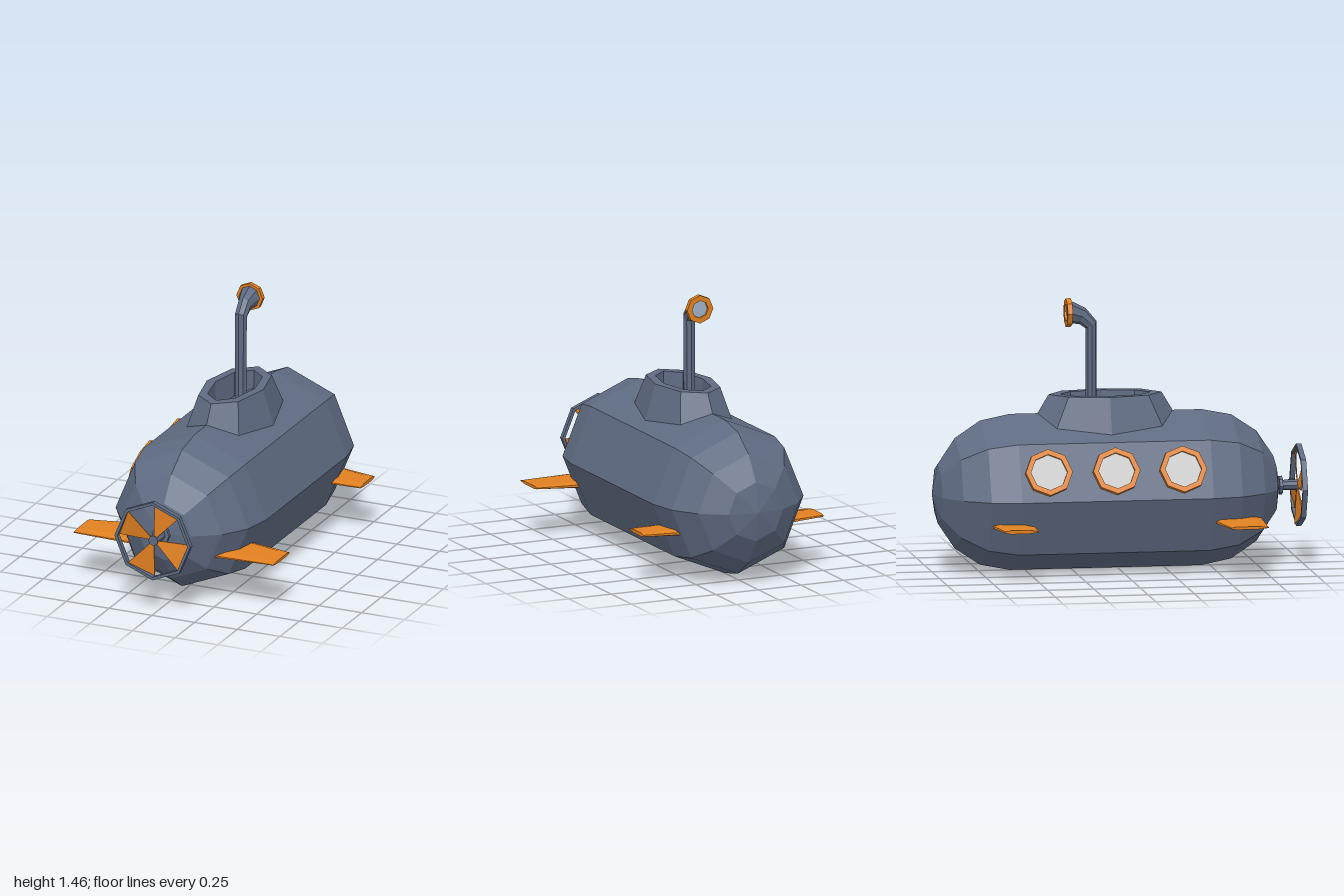
import * as THREE from 'three';

const mat = (color) => new THREE.MeshStandardMaterial({ color, flatShading: true });
const hullMat = mat(0x5f6b82);
const orangeMat = mat(0xe08020);
const glassMat = mat(0xcccccc);
const lensMat = mat(0x9fb0c8);
const V = (x, y, z) => new THREE.Vector3(x, y, z);

// Octagonal ring of points; u x v gives the direction of travel
function ring(center, u, v, n = 8) {
  return Array.from({ length: n }, (_, i) => {
    const a = (i / n) * Math.PI * 2;
    return center.clone().addScaledVector(u, Math.cos(a)).addScaledVector(v, Math.sin(a));
  });
}

// Skin over successive rings, with optional flat end caps
function loft(rings, caps = true) {
  const n = rings[0].length;
  const idx = [];
  for (let i = 0; i < rings.length - 1; i++) {
    for (let j = 0; j < n; j++) {
      const a = i * n + j, b = i * n + ((j + 1) % n);
      idx.push(a, b, b + n, a, b + n, a + n);
    }
  }
  if (caps) {
    const e = (rings.length - 1) * n;
    for (let j = 1; j < n - 1; j++) idx.push(0, j + 1, j, e, e + j, e + j + 1);
  }
  const g = new THREE.BufferGeometry().setFromPoints(rings.flat());
  g.setIndex(idx);
  const flat = g.toNonIndexed();
  flat.computeVertexNormals();
  return flat;
}

// Eight-sided solid of revolution about y from [radius, height] pairs
const lathe = (pts) => new THREE.LatheGeometry(pts.map(([r, y]) => new THREE.Vector2(r, y)), 8);
const hoop = (ro, ri, t) => lathe([[ro, 0], [ro, t], [ri, t], [ri, 0], [ro, 0]]);
const disc = (r, t) => new THREE.CylinderGeometry(r, r, t, 8);

export function createModel() {
  const model = new THREE.Group();
  const add = (name, geo, material, parent = model) => {
    const m = new THREE.Mesh(geo, material);
    m.name = name;
    parent.add(m);
    return m;
  };

  // Hull: octagonal capsule lying along z
  const R = 0.42, profile = [];
  for (const [mid, start] of [[-0.58, -90], [0.455, 0]]) {
    for (let i = 0; i <= 4; i++) {
      const a = THREE.MathUtils.degToRad(start + i * 22.5);
      profile.push([Math.max(0, R * Math.cos(a)), mid + R * Math.sin(a)]);
    }
  }
  add('hull', lathe(profile).rotateX(Math.PI / 2), hullMat).position.y = R;

  // Hollow conning tower, tapered outside, straight well inside
  const tower = [[0.245, 0.46, 0.68], [0.165, 0.305, 0.94], [0.115, 0.245, 0.94], [0.11, 0.235, 0.76]];
  add('conningTower', loft(tower.map(([rx, rz, y]) =>
    ring(V(0, y, -0.065), V(0, 0, rz), V(rx, 0, 0))), false), hullMat);

  // Periscope: pipe that bends backwards and flares
  const pipe = [[0.78, -0.14, 0, 0.031], [1.31, -0.14, 33, 0.035], [1.358, -0.188, 67, 0.046], [1.38, -0.252, 90, 0.062]];
  add('periscopePipe', loft(pipe.map(([y, z, deg, r]) => {
    const a = THREE.MathUtils.degToRad(deg);
    // the pipe keeps its side width while the elbow cut is tilted
    return ring(V(0, y, z), V(deg === 67 ? 0.038 : Math.min(r, 0.06), 0, 0),
      V(0, -Math.sin(a) * r, -Math.cos(a) * r));
  })), hullMat);
  add('periscopeRim', hoop(0.077, 0.047, 0.027).rotateX(-Math.PI / 2), orangeMat).position.set(0, 1.378, -0.25);
  add('periscopeLens', disc(0.05, 0.01).rotateX(Math.PI / 2), lensMat).position.set(0, 1.378, -0.26);

  // Portholes along the upper right face
  for (const z of [-0.43, -0.065, 0.295]) {
    const port = new THREE.Group();
    port.name = 'porthole';
    port.position.set(-0.358, 0.568, z);
    port.rotation.z = THREE.MathUtils.degToRad(67.5);
    add('portholeRim', hoop(0.127, 0.098, 0.042), orangeMat, port).position.y = -0.012;
    add('portholeGlass', disc(0.102, 0.02), glassMat, port).position.y = 0.006;
    model.add(port);
  }

  // Diving planes: tapered hexagonal sections, [x, z back, z front, half thickness]
  const section = ([x, z0, z1, h]) => [
    V(x, h, z0 + 0.03), V(x, h * 0.9, z1 - 0.05), V(x, h * 0.25, z1),
    V(x, -h * 0.25, z1), V(x, -h * 0.9, z1 - 0.05), V(x, -h, z0 + 0.03),
    V(x, -h * 0.4, z0), V(x, h * 0.4, z0),
  ];
  const planes = {
    frontFin: [[0.24, 0.455, 0.735, 0.019], [0.585, 0.52, 0.722, 0.008]],
    rearFin: [[0.24, -0.74, -0.505, 0.019], [0.53, -0.69, -0.51, 0.01]],
  };
  for (const [name, ends] of Object.entries(planes)) {
    const geo = loft(ends.map(section));
    for (const side of ['Left', 'Right']) {
      const fin = add(name + side, geo, orangeMat);
      fin.position.y = 0.282;
      if (side === 'Right') fin.rotation.z = Math.PI;
    }
  }

  // Propeller: shaft, collar, guard ring and four pitched blades
  const prop = new THREE.Group();
  prop.name = 'propeller';
  prop.position.y = R;
  model.add(prop);
  add('shaft', disc(0.028, 0.14).rotateX(Math.PI / 2), hullMat, prop).position.z = 0.915;
  add('shaftCollar', disc(0.05, 0.018).rotateX(Math.PI / 2), hullMat, prop).position.z = 0.881;
  add('guardRing', hoop(0.222, 0.205, 0.028).rotateX(Math.PI / 2), hullMat, prop).position.z = 0.967;
  const r0 = 0.022, r1 = 0.209;
  const edge = (r, deg, tilt, dz) => {
    const a = THREE.MathUtils.degToRad(deg);
    return V(r * Math.cos(a), r * Math.sin(a), 0.974 + dz + (tilt * r) / r1);
  };
  const bladeFace = (dz) => [
    edge(r0, 45, 0.012, dz), edge(r1, 45, 0.012, dz), edge(r1, 90, -0.014, dz), edge(r0, 90, -0.014, dz),
  ];
  const bladeGeo = loft([bladeFace(-0.003), bladeFace(0.003)]);
  for (let i = 0; i < 4; i++) add('blade', bladeGeo, orangeMat, prop).rotation.z = (i * Math.PI) / 2;

  return model;
}
